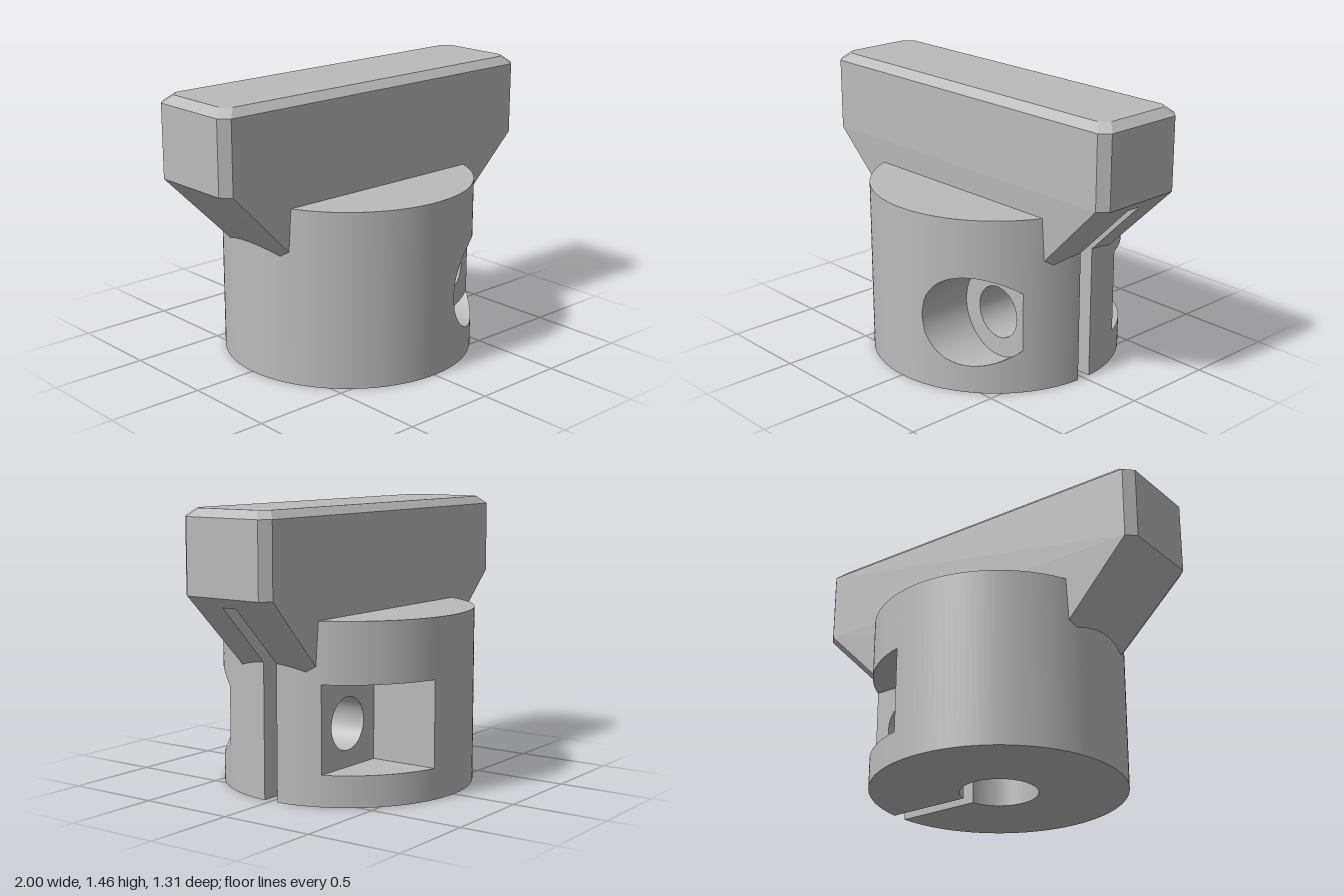
import * as THREE from 'three';
import { ParametricGeometry } from 'three/addons/geometries/ParametricGeometry.js';

const R = 0.655, H = 0.915;            // hub
const BORE = 0.2, SLOT = 0.04, DEPTH = 0.99;
const HX = 0.38, HY = 0.38, HOLE = 0.135; // clamp screw axis, parallel to z
const CB = 0.235, CBZ = 0.34;          // round screw-head recess
const PX = 0.155, PZ = -0.27, PY0 = 0.16, PY1 = 0.605; // square nut recess
const PI = Math.PI;

export function createModel() {
  const model = new THREE.Group();
  const grey = new THREE.MeshStandardMaterial({ color: 0xbababa, side: THREE.DoubleSide });
  grey.name = 'grey';

  const group = (name) => {
    const g = new THREE.Group();
    g.name = name;
    model.add(g);
    return g;
  };
  const add = (parent, name, geo) => {
    const m = new THREE.Mesh(geo, grey);
    m.name = name;
    parent.add(m);
  };
  const lerp = THREE.MathUtils.lerp;
  const depthAt = (x) => Math.sqrt(Math.max(0, R * R - x * x));

  // Upright wall round the y axis; t = 0 faces front, t = PI/2 faces +x
  const wall = (r, t0, t1, n, lo, hi) => new ParametricGeometry((u, v, p) => {
    const t = lerp(t0, t1, u), x = r * Math.sin(t);
    p.set(x, lerp(lo(x), hi(x), v), r * Math.cos(t));
  }, n, 1);
  // Tube wall round the screw axis from z0 to z1(x)
  const bored = (r, a0, a1, z0, z1) => new ParametricGeometry((u, v, p) => {
    const a = lerp(a0, a1, u), x = HX + r * Math.cos(a);
    p.set(x, HY + r * Math.sin(a), lerp(z0, z1(x), v));
  }, 64, 1);
  const flat = (shape) => new THREE.ShapeGeometry(shape, 96);
  const poly = (pts) => new THREE.Shape(pts.map(([x, y]) => new THREE.Vector2(x, y)));
  const withScrewHole = (shape) => {
    shape.holes.push(new THREE.Path().absarc(HX, HY, HOLE, 0, 2 * PI, true));
    return shape;
  };

  // Hub outer wall, open at the slot and both recesses
  const hub = group('hub');
  const zero = () => 0, top = () => H;
  const half = (x) => Math.sqrt(Math.max(0, CB * CB - (x - HX) ** 2));
  const s = Math.asin(SLOT / R);
  const c0 = Math.asin((HX - CB) / R), c1 = Math.acos(CBZ / R);
  const p0 = Math.acos(PZ / R), p1 = PI - Math.asin(PX / R);
  [
    [c0, c1, 40, zero, (x) => HY - half(x)],
    [c0, c1, 40, (x) => HY + half(x), top],
    [c1, PI / 2 - s, 16, zero, top],
    [PI / 2 + s, p0, 12, zero, top],
    [p0, p1, 24, zero, () => PY0],
    [p0, p1, 24, () => PY1, top],
    [p1, 2 * PI + c0, 80, zero, top],
  ].forEach((w) => add(hub, 'hubWall', wall(R, ...w)));

  // Hub end faces: disc with bore and slot
  const b = Math.asin(SLOT / BORE);
  const keyhole = new THREE.Shape();
  keyhole.absarc(0, 0, R, s, 2 * PI - s, false);
  keyhole.absarc(0, 0, BORE, 2 * PI - b, b, true);
  add(hub, 'hubTop', flat(keyhole).rotateX(-PI / 2).translate(0, H, 0));
  add(hub, 'hubBottom', flat(keyhole).rotateX(PI / 2));

  // Shaft bore and clamping slot
  const bore = group('boreAndSlot');
  add(bore, 'boreWall', wall(BORE, 2.5 * PI - b, PI / 2 + b, 64, zero, () => DEPTH));
  add(bore, 'boreEnd', new THREE.CircleGeometry(BORE, 64).rotateX(PI / 2).translate(0, DEPTH, 0));
  const xi = BORE * Math.cos(b), xo = R * Math.cos(s), xe = DEPTH - 0.04;
  const side = withScrewHole(poly([[xi, 0], [xo, 0], [xo, xo + 0.04], [xe, DEPTH], [xi, DEPTH]]));
  add(bore, 'slotSideBack', flat(side).translate(0, 0, -SLOT));
  // turned round twice so that it faces into the slot
  const front = flat(side).translate(0, 0, SLOT);
  const ix = front.index.array;
  for (let i = 0; i < ix.length; i += 3) [ix[i], ix[i + 1]] = [ix[i + 1], ix[i]];
  front.computeVertexNormals();
  add(bore, 'slotSideFront', front);
  add(bore, 'slotEnd', new THREE.PlaneGeometry(xe - xi, 2 * SLOT)
    .rotateX(PI / 2).translate((xe + xi) / 2, DEPTH, 0));

  // Clamp screw hole, either side of the slot
  const screw = group('screwHole');
  add(screw, 'holeFront', bored(HOLE, 2 * PI, 0, SLOT, () => CBZ));
  add(screw, 'holeBack', bored(HOLE, 2 * PI, 0, PZ, () => -SLOT));

  // Round recess for the screw head, breaking out at the hub side
  const head = group('screwHeadRecess');
  const a = Math.acos((depthAt(CBZ) - HX) / CB);
  add(head, 'recessWall', bored(CB, 2 * PI - a, a, CBZ, depthAt));
  const seat = new THREE.Shape().absarc(HX, HY, CB, a, 2 * PI - a, false);
  add(head, 'recessFloor', flat(withScrewHole(seat)).translate(0, 0, CBZ));

  // Square recess for the nut
  const nut = group('nutRecess');
  const px = depthAt(PZ), pz = -depthAt(PX);
  add(nut, 'nutSeat', flat(withScrewHole(poly([[PX, PY0], [px, PY0], [px, PY1], [PX, PY1]])))
    .rotateY(0).translate(0, 0, PZ));
  add(nut, 'nutSide', new THREE.PlaneGeometry(PZ - pz, PY1 - PY0)
    .rotateY(PI / 2).translate(PX, (PY0 + PY1) / 2, (PZ + pz) / 2));
  const ledge = new THREE.Shape();
  ledge.moveTo(PX, -PZ);
  ledge.lineTo(px, -PZ);
  ledge.absarc(0, 0, R, Math.atan2(-PZ, px), Math.atan2(-pz, PX), false);
  add(nut, 'nutLedge', flat(ledge).rotateX(-PI / 2).translate(0, PY0, 0));
  add(nut, 'nutCeiling', flat(ledge).rotateX(-PI / 2).translate(0, PY1, 0));

  // Grip bar: chamfered eight-sided sections stacked upwards
  const ring = (y, X, Z, c) => [
    [X, y, c - Z], [X, y, Z - c], [X - c, y, Z], [c - X, y, Z],
    [-X, y, Z - c], [-X, y, c - Z], [c - X, y, -Z], [X - c, y, -Z],
  ];
  const rings = [
    ring(0.64, 0.6, 0.243, 0.045),
    ring(1.04, 1, 0.265, 0.047),
    ring(1.415, 1, 0.265, 0.047),
    ring(1.455, 0.955, 0.222, 0.045),
  ];
  const pos = [];
  const quad = (p, q, r, t) => pos.push(...p, ...q, ...r, ...p, ...r, ...t);
  for (let k = 0; k < 3; k++) {
    for (let i = 0; i < 8; i++) {
      if (k === 0 && i === 0) continue; // slotted slope added below
      const j = (i + 1) % 8;
      quad(rings[k][i], rings[k + 1][i], rings[k + 1][j], rings[k][j]);
    }
  }
  // +x slope with the slot left open
  const [lo, hi] = rings;
  const at = (y, z) => [y - 0.04, y, z];
  quad(lo[0], hi[0], at(1.04, -SLOT), at(0.64, -SLOT));
  quad(at(0.64, SLOT), at(1.04, SLOT), hi[1], lo[1]);
  quad(at(DEPTH, -SLOT), at(1.04, -SLOT), at(1.04, SLOT), at(DEPTH, SLOT));
  // top face
  const cap = rings[3];
  for (let i = 1; i < 7; i++) pos.push(...cap[0], ...cap[i + 1], ...cap[i]);
  const bar = new THREE.BufferGeometry();
  bar.setAttribute('position', new THREE.Float32BufferAttribute(pos, 3));
  bar.computeVertexNormals();
  add(model, 'gripBar', bar);

  return model;
}
